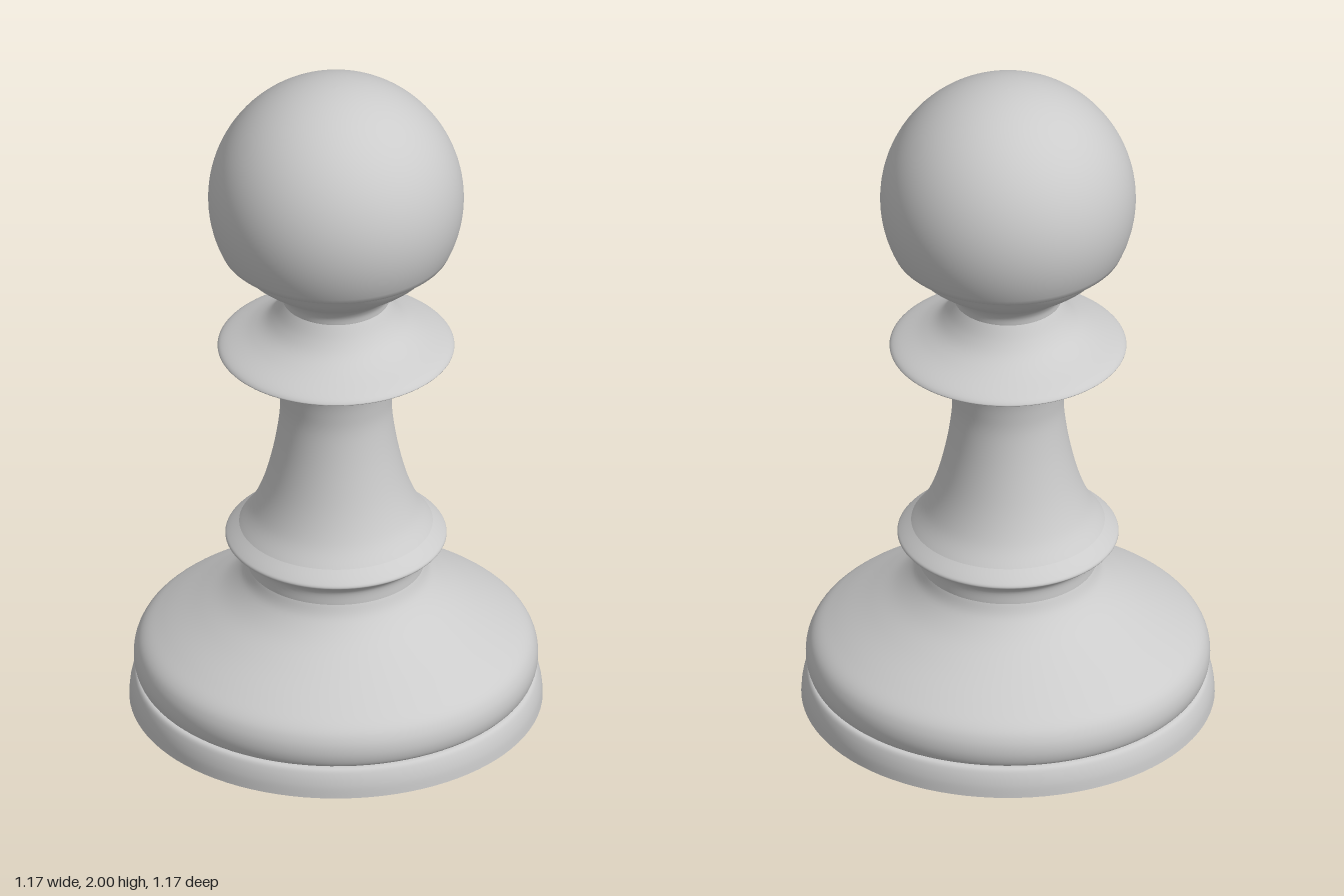
import * as THREE from 'three';

const SEGMENTS = 96;
const material = new THREE.MeshStandardMaterial({ color: 0xcccccc });

const toPoints = (pairs) => pairs.map(([r, y]) => new THREE.Vector2(r, y));

// Smooth curve through [radius, height] pairs, listed bottom to top
const smooth = (pairs, steps = 6) =>
  new THREE.SplineCurve(toPoints(pairs)).getPoints((pairs.length - 1) * steps);

function turned(name, points) {
  const mesh = new THREE.Mesh(new THREE.LatheGeometry(points, SEGMENTS), material);
  mesh.name = name;
  return mesh;
}

export function createModel() {
  const model = new THREE.Group();
  model.name = 'pawn';

  // Underside disc
  const underside = new THREE.Mesh(new THREE.CircleGeometry(0.587, SEGMENTS), material);
  underside.name = 'underside';
  underside.rotation.x = Math.PI / 2;
  model.add(underside);

  // Low plinth with a rounded upper edge
  model.add(turned('plinth', smooth([
    [0.587, 0], [0.584, 0.035], [0.576, 0.065], [0.565, 0.083], [0.545, 0.086],
  ])));

  // Bulging foot sweeping up to the waist groove
  model.add(turned('foot', smooth([
    [0.545, 0.086], [0.565, 0.095], [0.574, 0.13], [0.568, 0.17], [0.545, 0.205],
    [0.49, 0.243], [0.395, 0.3], [0.32, 0.35], [0.27, 0.4], [0.252, 0.44],
  ])));

  // Lower ring
  model.add(turned('lowerRing', smooth([
    [0.252, 0.44], [0.255, 0.48], [0.28, 0.507], [0.308, 0.523], [0.314, 0.533],
    [0.303, 0.546], [0.275, 0.57],
  ])));

  // Concave stem
  model.add(turned('stem', smooth([
    [0.275, 0.57], [0.237, 0.625], [0.203, 0.71], [0.176, 0.82], [0.16, 0.93],
    [0.161, 1.0], [0.171, 1.06], [0.192, 1.095],
  ])));

  // Wide thin collar with a concave top
  model.add(turned('collar', smooth([
    [0.192, 1.095], [0.24, 1.117], [0.3, 1.133], [0.331, 1.145], [0.335, 1.153],
    [0.315, 1.168], [0.25, 1.198], [0.205, 1.227], [0.175, 1.262], [0.152, 1.305],
  ])));

  // Neck flaring into the ball head
  const neck = smooth([
    [0.152, 1.305], [0.157, 1.33], [0.178, 1.358], [0.225, 1.39], [0.268, 1.425], [0.298, 1.465],
  ]);
  const radius = 0.363, centre = 2 - radius, start = -0.45;
  const ball = [];
  for (let i = 0; i <= 40; i++) {
    const a = start + (Math.PI / 2 - start) * (i / 40);
    ball.push(new THREE.Vector2(i === 40 ? 0 : radius * Math.cos(a), centre + radius * Math.sin(a)));
  }
  model.add(turned('head', [...neck, ...ball]));

  return model;
}
